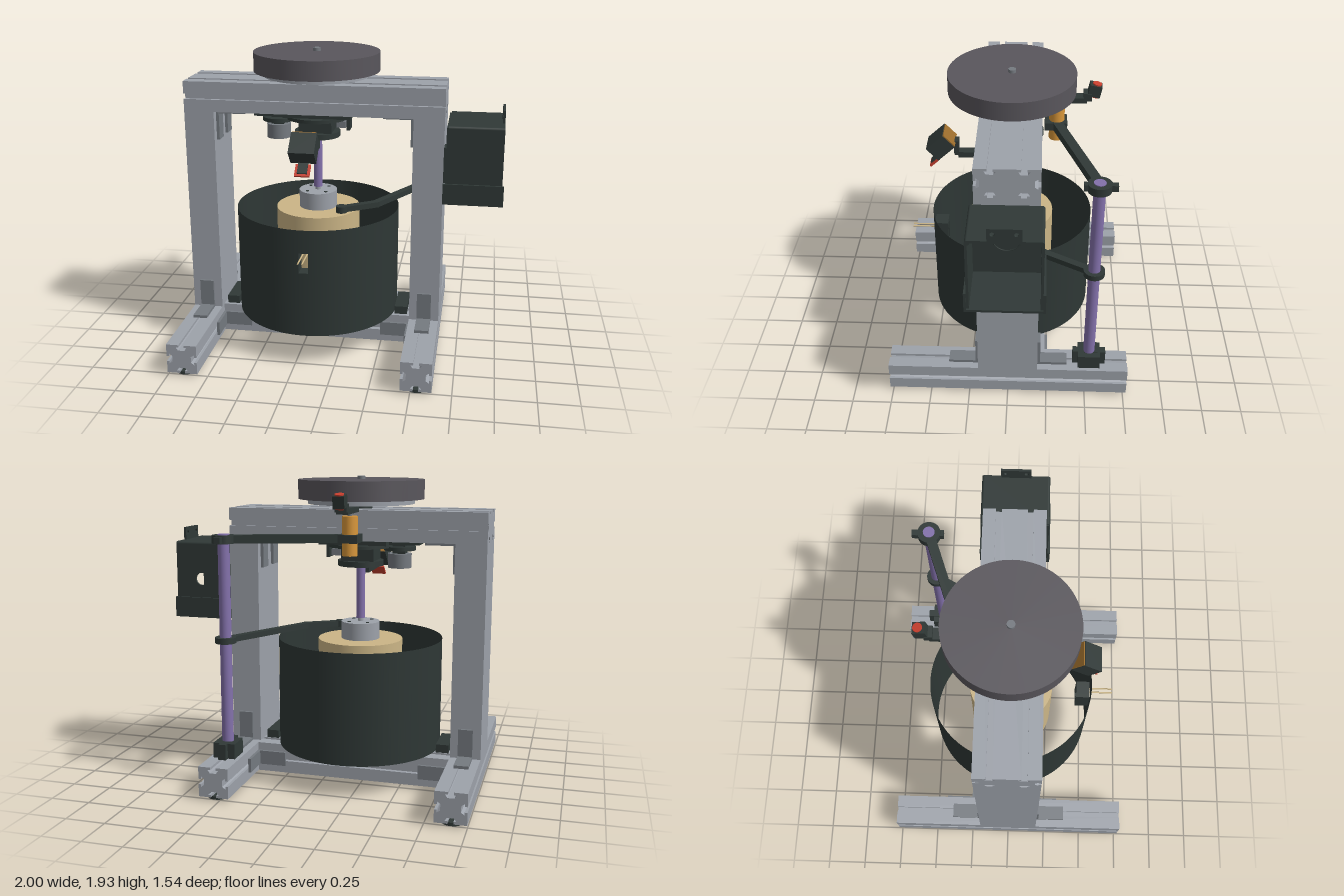
import * as THREE from 'three';

const mat = (name, color, side = THREE.FrontSide) => {
  const m = new THREE.MeshStandardMaterial({ color, side });
  m.name = name;
  return m;
};

export function createModel() {
  const M = {
    alu: mat('aluminium', 0x9da2aa),
    bracket: mat('bracketGrey', 0x757a80),
    dark: mat('darkGreenPlastic', 0x303937),
    drum: mat('drumShell', 0x2e3735, THREE.DoubleSide),
    wheel: mat('wheelGrey', 0x59565c),
    purple: mat('purpleRod', 0x8371ab),
    orange: mat('orange', 0xd9973a),
    red: mat('red', 0xc9402f),
    tan: mat('tan', 0xcbb586),
    brown: mat('brown', 0x9a6c2c),
  };
  const root = new THREE.Group();
  root.name = 'spinningRig';
  const AX = -0.185; // x of the main axis

  const add = (geo, m, name, x = 0, y = 0, z = 0, parent = root) => {
    const mesh = new THREE.Mesh(geo, m);
    mesh.name = name;
    mesh.position.set(x, y, z);
    parent.add(mesh);
    return mesh;
  };
  // box from its lower and upper limits
  const span = (name, m, x0, x1, y0, y1, z0, z1, parent) =>
    add(new THREE.BoxGeometry(x1 - x0, y1 - y0, z1 - z0), m, name, (x0 + x1) / 2, (y0 + y1) / 2, (z0 + z1) / 2, parent);
  // upright cylinder between two heights
  const cyl = (name, m, r, x, z, y0, y1, seg = 40) =>
    add(new THREE.CylinderGeometry(r, r, y1 - y0, seg), m, name, x, (y0 + y1) / 2, z);
  // flat horizontal bar between two plan points
  const bar = (name, m, [xa, za], [xb, zb], y0, y1, w) => {
    const b = add(new THREE.BoxGeometry(Math.hypot(xb - xa, zb - za), y1 - y0, w), m, name, (xa + xb) / 2, (y0 + y1) / 2, (za + zb) / 2);
    b.rotation.y = -Math.atan2(zb - za, xb - xa);
    return b;
  };

  // slotted beam: rectangular section with T-slots, extruded along z
  const beamGeo = (w, h, len, cols) => {
    const pts = [];
    const side = (sx, sy, dx, dy, slots) => {
      pts.push([sx, sy]);
      for (const s of slots) {
        const p = (a, d) => pts.push([sx + dx * (s + a) - dy * d, sy + dy * (s + a) + dx * d]);
        p(-0.017, 0); p(-0.017, 0.016); p(-0.034, 0.016); p(-0.02, 0.036);
        p(0.02, 0.036); p(0.034, 0.016); p(0.017, 0.016); p(0.017, 0);
      }
    };
    side(-w / 2, -h / 2, 1, 0, cols);
    side(w / 2, -h / 2, 0, 1, [h / 2]);
    side(w / 2, h / 2, -1, 0, cols);
    side(-w / 2, h / 2, 0, -1, [h / 2]);
    const shape = new THREE.Shape(pts.map(p => new THREE.Vector2(...p)));
    return new THREE.ExtrudeGeometry(shape, { depth: len, bevelEnabled: false }).translate(0, 0, -len / 2);
  };

  // frame: feet, posts, cross beams and pads
  const postX = [-0.905, 0.535];
  for (const x of postX) {
    add(beamGeo(0.19, 0.19, 1.54, [0.095]), M.alu, 'footBeam', x, 0.115, 0);
    span('post', M.alu, x - 0.095, x + 0.095, 0.21, 1.54, -0.19, 0.19);
    for (const s of [-1, 1]) cyl('footPad', M.dark, 0.07, x, s * 0.68, 0, 0.02, 28);
  }
  add(beamGeo(0.38, 0.19, 1.63, [0.095, 0.285]), M.alu, 'topBeam', AX, 1.635, 0).rotation.y = Math.PI / 2;
  add(beamGeo(0.38, 0.19, 1.25, [0.095, 0.285]), M.alu, 'baseBeam', AX, 0.115, -0.047).rotation.y = Math.PI / 2;

  // L brackets: two plates meeting at a corner, along directions a and b
  const bracket = (x, y, z, a, b) => {
    const g = new THREE.Group();
    g.name = 'cornerBracket';
    const va = new THREE.Vector3(...a), vb = new THREE.Vector3(...b);
    g.applyMatrix4(new THREE.Matrix4().makeBasis(va, vb, va.clone().cross(vb)));
    g.position.set(x, y, z);
    span('bracketLeg', M.bracket, 0, 0.19, 0, 0.018, -0.045, 0.045, g);
    span('bracketLeg', M.bracket, 0, 0.018, 0.018, 0.19, -0.045, 0.045, g);
    root.add(g);
  };
  for (const s of [-1, 1]) {
    for (const x of postX) bracket(x, 0.21, s * 0.19, [0, 0, s], [0, 1, 0]);
    const zBase = s > 0 ? 0.143 : -0.237;
    bracket(-0.81, 0.115, zBase, [1, 0, 0], [0, 0, s]);
    bracket(0.44, 0.115, zBase, [-1, 0, 0], [0, 0, s]);
    bracket(-0.81, 1.54, s * 0.095, [1, 0, 0], [0, -1, 0]);
    bracket(0.44, 1.54, s * 0.095, [-1, 0, 0], [0, -1, 0]);
  }

  // drum: open shell with a window at the front
  const R = 0.525, win = 0.058;
  const shell = (y0, y1, t0, tl) =>
    add(new THREE.CylinderGeometry(R, R, y1 - y0, tl > 1 ? 96 : 4, 1, true, t0, tl), M.drum, 'drumShell', AX, (y0 + y1) / 2, 0);
  shell(0.21, 0.91, win, Math.PI * 2 - 2 * win);
  shell(0.21, 0.63, -win, 2 * win);
  shell(0.76, 0.91, -win, 2 * win);
  for (const s of [-1, 1]) {
    span('drumMount', M.dark, AX + s * 0.565 - 0.04, AX + s * 0.565 + 0.04, 0.21, 0.262, -0.12, 0.12);
    span('windowJamb', M.dark, AX + s * 0.042 - 0.012, AX + s * 0.042 + 0.012, 0.61, 0.8, 0.43, 0.518);
    const pin = add(new THREE.CylinderGeometry(0.005, 0.005, 0.2, 10), M.tan, 'windowPin', AX + 0.01 + s * 0.013, 0.752, 0.57);
    pin.rotation.x = Math.PI / 2;
  }
  span('windowLintel', M.dark, AX - 0.03, AX + 0.03, 0.765, 0.8, 0.43, 0.518);
  span('windowSill', M.dark, AX - 0.03, AX + 0.03, 0.61, 0.628, 0.43, 0.518);

  // core, hub and drive shaft
  cyl('core', M.tan, 0.27, AX, 0, 0.27, 0.9, 64);
  cyl('hub', M.alu, 0.122, AX, 0, 0.9, 1.01, 48);
  for (let i = 0; i < 4; i++) {
    const a = i * Math.PI / 2 + Math.PI / 4;
    cyl('hubScrew', M.dark, 0.011, AX + 0.085 * Math.cos(a), 0.085 * Math.sin(a), 1.008, 1.013, 12);
  }
  cyl('shaftTip', M.alu, 0.018, AX, 0, 1.01, 1.04, 20);
  cyl('driveShaft', M.purple, 0.028, AX, 0, 1.03, 1.77, 28);

  // flywheel
  cyl('wheelFlange', M.dark, 0.07, AX, 0, 1.73, 1.762);
  cyl('wheelPlate', M.alu, 0.335, AX, 0, 1.76, 1.79, 64);
  cyl('flywheel', M.wheel, 0.395, AX, 0, 1.79, 1.91, 80);
  cyl('wheelStub', M.bracket, 0.024, AX, 0, 1.91, 1.93, 20);

  // bearing and gears under the top beam
  cyl('bearingRing', M.dark, 0.145, AX, 0, 1.37, 1.405);
  span('bearingBlock', M.dark, AX - 0.105, AX + 0.105, 1.405, 1.5, -0.1, 0.1);
  cyl('largeGear', M.dark, 0.2, AX, 0, 1.488, 1.51, 36);
  span('mountPlate', M.dark, -0.38, 0.05, 1.51, 1.54, -0.15, 0.15);
  cyl('smallGear', M.dark, 0.1, -0.43, 0.03, 1.47, 1.495, 24);
  span('motorPlate', M.dark, -0.57, -0.38, 1.51, 1.54, -0.06, 0.12);
  cyl('motor', M.bracket, 0.075, -0.43, 0.03, 1.36, 1.45, 32);
  span('motorNeck', M.dark, -0.47, -0.39, 1.45, 1.51, -0.01, 0.07);
  span('sideSwitch', M.bracket, -0.06, 0.0, 1.43, 1.47, -0.03, 0.03);
  span('sideSwitchPlate', M.dark, 0.01, 0.03, 1.42, 1.51, -0.05, 0.05);

  // tilted front sensor on its arm
  const sensor = new THREE.Group();
  sensor.name = 'frontSensor';
  sensor.position.set(AX, 1.405, 0.453);
  sensor.rotation.x = 0.75;
  root.add(sensor);
  span('sensorBody', M.dark, -0.078, 0.078, -0.056, 0.056, -0.073, 0.073, sensor);
  span('sensorBoard', M.brown, -0.074, 0.074, -0.052, 0.052, -0.08, -0.073, sensor);
  span('sensorFlag', M.red, -0.046, 0.046, -0.07, -0.058, 0.078, 0.16, sensor);
  span('sensorTongue', M.dark, -0.03, 0.03, -0.064, -0.05, 0.04, 0.145, sensor);
  span('sensorArm', M.dark, AX - 0.03, AX + 0.03, 1.31, 1.35, 0.1, 0.345);
  span('sensorArmRoot', M.dark, AX - 0.03, AX + 0.03, 1.31, 1.39, 0.09, 0.13);
  span('sensorLink', M.dark, AX - 0.03, AX + 0.03, 1.33, 1.43, 0.34, 0.37);

  // purple standing pole with base clamp and collars
  const P = [0.535, -0.52];
  span('poleBase', M.dark, 0.465, 0.605, 0.21, 0.305, -0.59, -0.45);
  span('poleBaseTab', M.dark, 0.51, 0.56, 0.21, 0.308, -0.625, -0.415);
  cyl('pole', M.purple, 0.036, ...P, 0.3, 1.595, 28);
  cyl('lowerCollar', M.dark, 0.065, ...P, 0.93, 0.965, 28);
  cyl('upperCollar', M.dark, 0.07, ...P, 1.54, 1.59, 28);
  span('collarTab', M.dark, 0.515, 0.555, 1.545, 1.585, -0.625, -0.43);

  // lower arm reaching over the drum
  bar('lowerArm', M.dark, [0.51, -0.476], [0.2, 0.07], 0.93, 0.965, 0.045);
  bar('lowerArmTip', M.dark, [0.215, 0.06], [0.0, 0.2], 0.93, 0.965, 0.045);
  cyl('lowerArmEnd', M.dark, 0.035, 0.0, 0.2, 0.927, 0.968, 20);

  // upper arm with orange actuator and rear sensor
  bar('upperArm', M.dark, [0.5, -0.508], [AX + 0.04, -0.285], 1.54, 1.59, 0.06);
  span('actuatorClamp', M.dark, AX - 0.06, AX + 0.06, 1.54, 1.59, -0.345, -0.205);
  cyl('actuator', M.orange, 0.048, AX, -0.28, 1.46, 1.7, 32);
  cyl('actuatorStem', M.bracket, 0.014, AX, -0.28, 1.7, 1.75, 14);
  span('rearArm', M.dark, AX - 0.036, AX + 0.036, 1.72, 1.755, -0.46, -0.2);
  span('rearArmEnd', M.dark, AX - 0.036, AX + 0.036, 1.735, 1.785, -0.49, -0.44);
  const rear = add(new THREE.BoxGeometry(0.07, 0.075, 0.075), M.dark, 'rearSensor', AX, 1.8, -0.507);
  rear.rotation.x = -0.2;
  add(new THREE.CylinderGeometry(0.028, 0.028, 0.008, 20), M.red, 'rearSensorLens', 0, 0.041, -0.005, rear);
  add(new THREE.BoxGeometry(0.05, 0.012, 0.03), M.red, 'rearSensorFlag', 0, -0.04, -0.01, rear);

  // control box on the left post, open outwards, with a hole in its rear wall
  span('boxTop', M.dark, 0.655, 0.99, 1.495, 1.51, -0.2, 0.2);
  span('boxBottom', M.dark, 0.63, 1.0, 1.02, 1.035, -0.23, 0.23);
  span('boxBack', M.dark, 0.645, 0.66, 1.03, 1.5, -0.21, 0.21);
  span('boxFront', M.dark, 0.655, 0.99, 1.03, 1.495, 0.2, 0.215);
  const wall = new THREE.Shape([[0.655, 1.03], [0.99, 1.03], [0.99, 1.495], [0.655, 1.495]].map(p => new THREE.Vector2(...p)));
  wall.holes.push(new THREE.Path().absarc(0.82, 1.27, 0.04, 0, Math.PI * 2, true));
  add(new THREE.ExtrudeGeometry(wall, { depth: 0.015, bevelEnabled: false, curveSegments: 24 }), M.dark, 'boxRear', 0, 0, -0.215);
  for (const s of [-1, 1]) {
    const edge = add(new THREE.CylinderGeometry(0.015, 0.015, 0.335, 16), M.dark, 'boxRoundedEdge', 0.8225, 1.495, s * 0.2);
    edge.rotation.z = Math.PI / 2;
    span('boxSkirt', M.dark, 0.63, 1.0, 1.02, 1.15, s > 0 ? 0.215 : -0.23, s > 0 ? 0.23 : -0.215);
    span('boxRearTab', M.dark, 0.63, 0.655, 1.15, 1.37, s * 0.15 - 0.05, s * 0.15 + 0.05);
  }
  const ring = add(new THREE.TorusGeometry(0.085, 0.004, 6, 40), M.dark, 'boxFanRing', 0.66, 1.28, 0);
  ring.rotation.y = Math.PI / 2;
  // hanging tab with two screw holes
  const tab = new THREE.Shape([[-0.095, 0], [0.095, 0], [0.095, 0.08], [-0.095, 0.08]].map(p => new THREE.Vector2(...p)));
  for (const s of [-1, 1]) tab.holes.push(new THREE.Path().absarc(s * 0.065, 0.045, 0.013, 0, Math.PI * 2, true));
  add(new THREE.ExtrudeGeometry(tab, { depth: 0.015, bevelEnabled: false }), M.dark, 'boxTab', 0.975, 1.51, 0).rotation.y = Math.PI / 2;

  return root;
}
